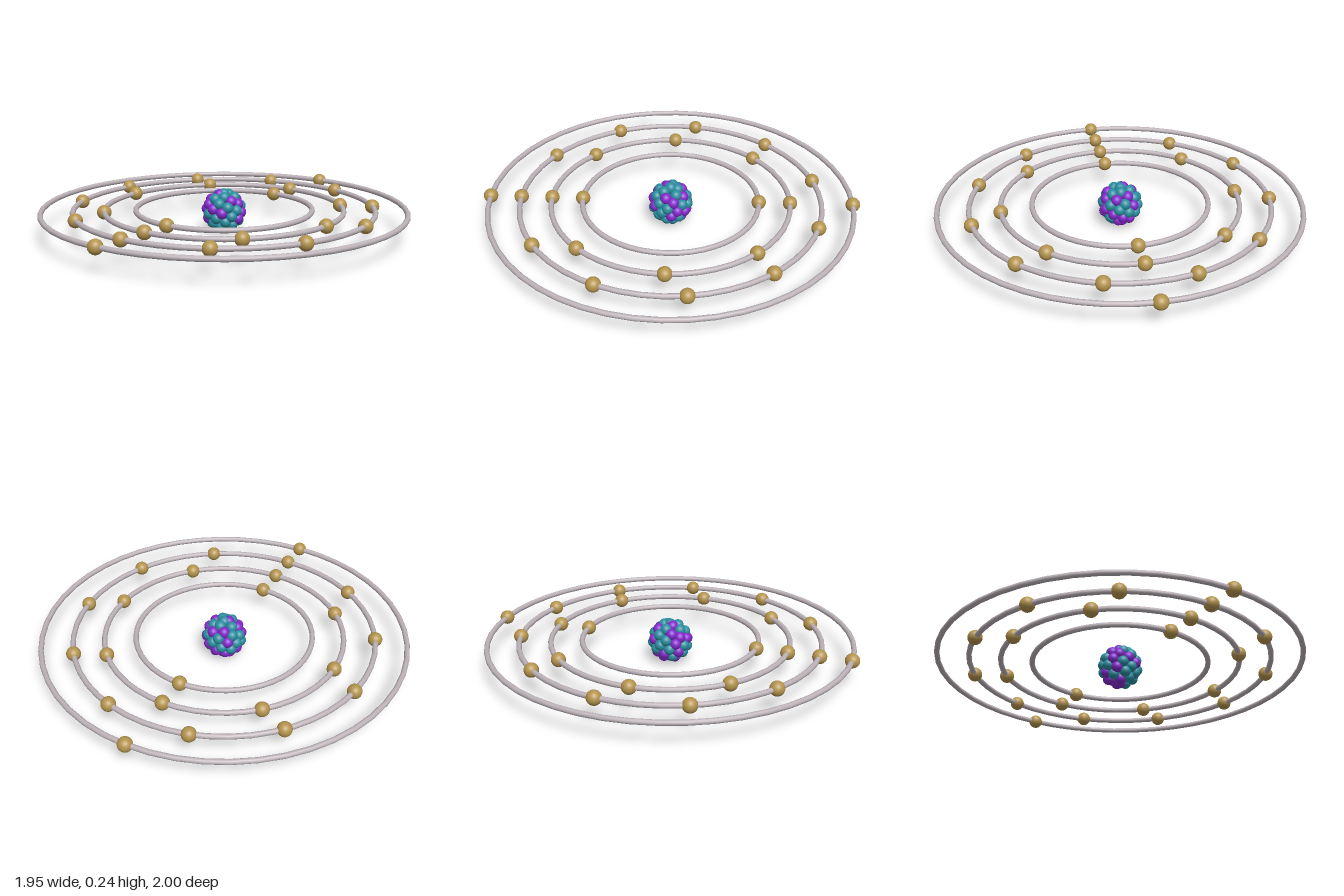
import * as THREE from 'three';

const RING_Y = 0.131;       // height of the orbit plane
const NUCLEUS_Y = 0.12;     // height of the nucleus centre
const material = (color) => new THREE.MeshStandardMaterial({ color });

// Small seeded generator for mixing the nucleons
function seeded(seed) {
  return () => {
    seed = (seed * 16807) % 2147483647;
    return seed / 2147483647;
  };
}

// Ball of overlapping protons and neutrons spread evenly over a sphere
function createNucleus(protons, neutrons) {
  const nucleus = new THREE.Group();
  nucleus.name = 'nucleus';
  nucleus.position.y = NUCLEUS_Y;
  const count = protons + neutrons;
  const random = seeded(23);
  const kinds = Array.from({ length: count }, (_, i) => i < protons);
  for (let i = count - 1; i > 0; i--) {
    const j = Math.floor(random() * (i + 1));
    [kinds[i], kinds[j]] = [kinds[j], kinds[i]];
  }
  const geometry = new THREE.SphereGeometry(0.03, 20, 14);
  const purple = material(0x8428cc);
  const teal = material(0x2a8fa0);
  const golden = Math.PI * (3 - Math.sqrt(5));
  kinds.forEach((isProton, i) => {
    const nucleon = new THREE.Mesh(geometry, isProton ? purple : teal);
    nucleon.name = isProton ? 'proton' : 'neutron';
    const y = 1 - (2 * i) / (count - 1);
    const r = Math.sqrt(Math.max(0, 1 - y * y));
    nucleon.position.set(r * Math.cos(i * golden), y, r * Math.sin(i * golden)).multiplyScalar(0.09);
    nucleus.add(nucleon);
  });
  return nucleus;
}

export function createModel() {
  const model = new THREE.Group();
  model.name = 'atom';
  model.add(createNucleus(23, 28));

  const ringMaterial = material(0xbcb2b8);
  const electronMaterial = material(0xb4944e);
  const electronGeometry = new THREE.SphereGeometry(0.038, 32, 20);

  // Four shells, each a thin ring carrying evenly spaced electrons
  [2, 8, 11, 2].forEach((electrons, s) => {
    const radius = 0.467 + 0.165 * s;
    const shell = new THREE.Group();
    shell.name = `shell${s + 1}`;
    shell.position.y = RING_Y;

    const ring = new THREE.Mesh(new THREE.TorusGeometry(radius, 0.014, 14, 48), ringMaterial);
    ring.name = 'orbitRing';
    ring.rotation.x = Math.PI / 2;
    shell.add(ring);

    for (let i = 0; i < electrons; i++) {
      const angle = (i / electrons) * Math.PI * 2;
      const electron = new THREE.Mesh(electronGeometry, electronMaterial);
      electron.name = 'electron';
      electron.position.set(Math.sin(angle) * radius, 0, Math.cos(angle) * radius);
      shell.add(electron);
    }
    model.add(shell);
  });
  return model;
}
